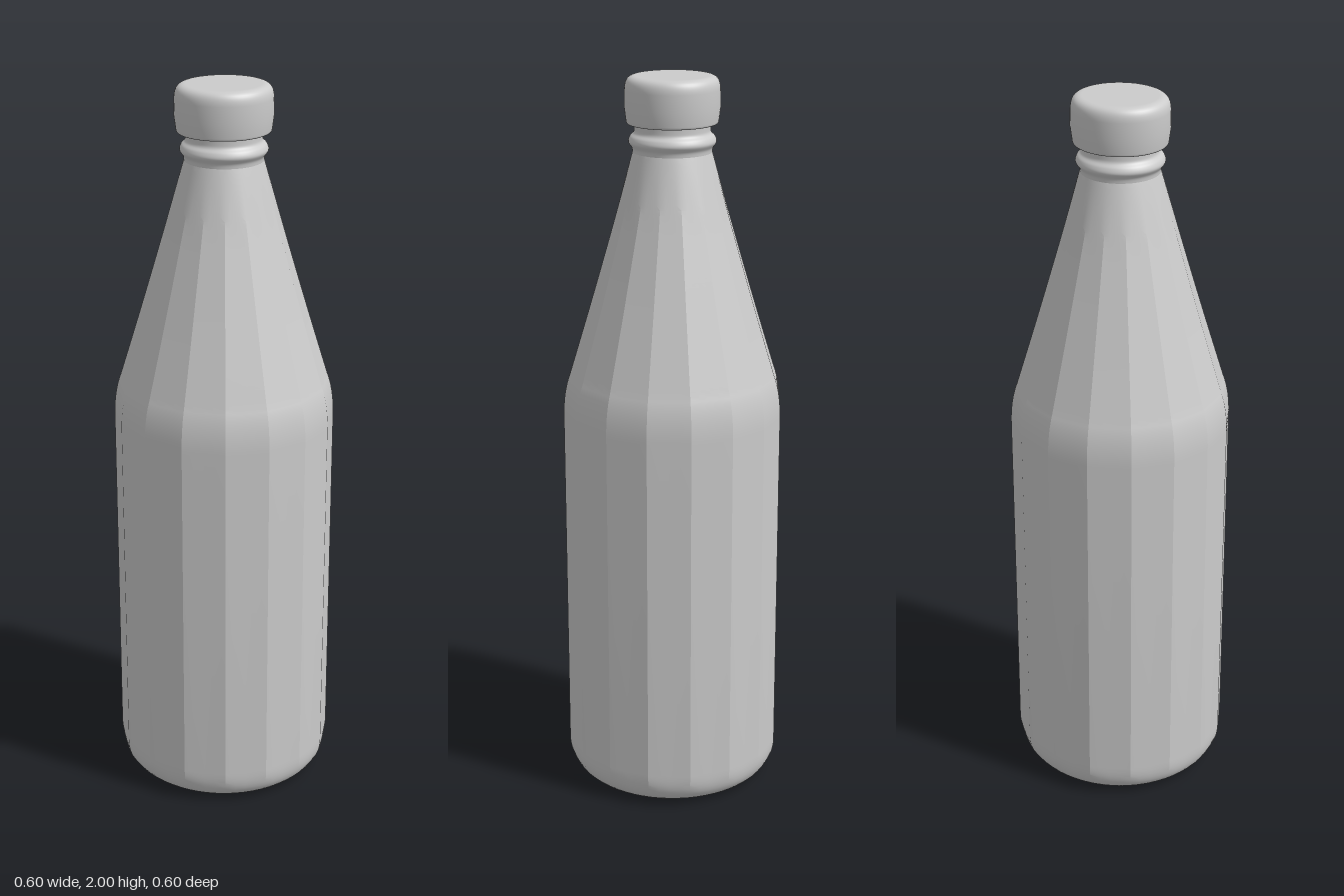
import * as THREE from 'three';
import { toCreasedNormals } from 'three/addons/utils/BufferGeometryUtils.js';

const material = new THREE.MeshStandardMaterial({ color: 0xcccccc });
const FACETS = 16;
const v = (x, y) => new THREE.Vector2(x, y);

// Revolve a profile drawn from bottom to top
function revolve(name, path, divisions) {
  const geometry = new THREE.LatheGeometry(path.getPoints(divisions), FACETS * 4);
  const mesh = new THREE.Mesh(geometry, material);
  mesh.name = name;
  return mesh;
}

// Pull a round surface in to flat facets, fading to round at the base and neck
function facet(geometry) {
  const pos = geometry.attributes.position;
  const step = (Math.PI * 2) / FACETS;
  for (let i = 0; i < pos.count; i++) {
    const x = pos.getX(i), y = pos.getY(i), z = pos.getZ(i);
    const angle = Math.atan2(x, z) + Math.PI * 2;
    const offset = (angle % step) - step / 2;
    const flat = Math.cos(step / 2) / Math.cos(offset);
    const weight = THREE.MathUtils.smoothstep(y, 0.01, 0.1)
      * (1 - THREE.MathUtils.smoothstep(y, 1.6, 1.8));
    const k = THREE.MathUtils.lerp(1, flat, weight);
    pos.setXYZ(i, x * k, y, z * k);
  }
  return toCreasedNormals(geometry, 0.3);
}

export function createModel() {
  const group = new THREE.Group();
  group.name = 'bottle';

  // Body: rounded foot, straight faceted wall, tapering shoulder
  const bodyPath = new THREE.Path();
  bodyPath.moveTo(0, 0.012);
  bodyPath.lineTo(0.18, 0.008);
  bodyPath.quadraticCurveTo(0.2, 0, 0.22, 0);
  bodyPath.bezierCurveTo(0.27, 0, 0.302, 0.035, 0.302, 0.1);
  bodyPath.lineTo(0.302, 1.08);
  bodyPath.quadraticCurveTo(0.302, 1.15, 0.283, 1.2);
  bodyPath.splineThru([v(0.222, 1.4), v(0.163, 1.6), v(0.106, 1.8)]);
  const body = revolve('body', bodyPath, 12);
  body.geometry = facet(body.geometry);

  // Neck with its raised ring
  const neckPath = new THREE.Path();
  neckPath.moveTo(0.106, 1.8);
  neckPath.splineThru([
    v(0.108, 1.812), v(0.117, 1.827), v(0.113, 1.841),
    v(0.103, 1.852), v(0.101, 1.866), v(0.102, 1.9),
  ]);
  const neck = revolve('neck', neckPath, 5);

  // Cap: open lower rim, slightly tapered skirt, rounded top edge
  const capPath = new THREE.Path();
  capPath.moveTo(0.1, 1.885);
  capPath.lineTo(0.118, 1.876);
  capPath.quadraticCurveTo(0.126, 1.873, 0.127, 1.883);
  capPath.lineTo(0.132, 1.92);
  capPath.lineTo(0.131, 1.965);
  capPath.bezierCurveTo(0.13, 1.988, 0.122, 2, 0.1, 2);
  capPath.lineTo(0, 2);
  const cap = revolve('cap', capPath, 10);
  cap.scale.z = 0.965;

  group.add(body, neck, cap);
  return group;
}
